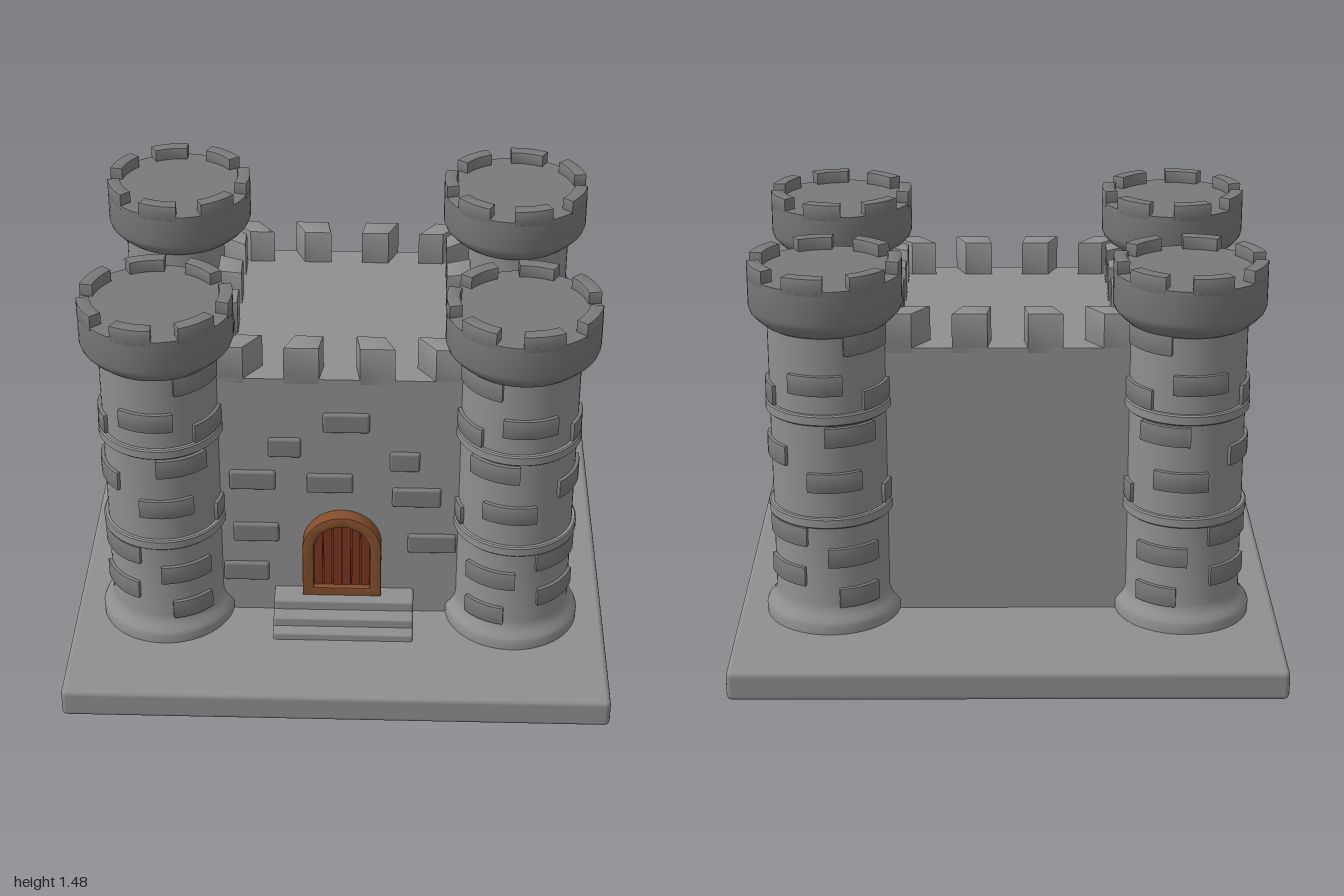
import * as THREE from 'three';
import { toCreasedNormals } from 'three/addons/utils/BufferGeometryUtils.js';
import { RoundedBoxGeometry } from 'three/addons/geometries/RoundedBoxGeometry.js';

const stone = new THREE.MeshStandardMaterial({ color: 0x8f8f8f });
const darkStone = new THREE.MeshStandardMaterial({ color: 0x7a7a7a });
const frameWood = new THREE.MeshStandardMaterial({ color: 0x834e2c });
const doorWood = new THREE.MeshStandardMaterial({ color: 0x78341f });

function add(parent, name, geometry, material = stone, x = 0, y = 0, z = 0) {
  const mesh = new THREE.Mesh(geometry, material);
  mesh.name = name;
  mesh.position.set(x, y, z);
  parent.add(mesh);
  return mesh;
}

const rounded = (w, h, d, r = 0.01) => new RoundedBoxGeometry(w, h, d, 2, r);

// Smooth turned form from [radius, y] points, keeping hard edges
const turned = (points) => toCreasedNormals(
  new THREE.LatheGeometry(points.map(([x, y]) => new THREE.Vector2(x, y)), 56), 0.6);

// Plan outline given as [x, z] points, raised from y0 to y1 with softened edges
function raise(points, y0, y1, bevel = 0.006) {
  const shape = new THREE.Shape(points.map(([x, z]) => new THREE.Vector2(x, -z)));
  const geo = new THREE.ExtrudeGeometry(shape, {
    depth: y1 - y0 - 2 * bevel, bevelEnabled: true, bevelSize: bevel,
    bevelThickness: bevel, bevelOffset: -bevel, bevelSegments: 2,
  });
  geo.rotateX(-Math.PI / 2).translate(0, y0 + bevel, 0);
  return toCreasedNormals(geo, 0.5);
}

// Curved block: ring sector between two angles (degrees from the front), mirrored by sx, sz
function sector(r0, r1, a0, a1, y0, y1, sx, sz, bevel) {
  const pts = [];
  const n = 8;
  const put = (r, t) => {
    const a = THREE.MathUtils.degToRad(a0 + (a1 - a0) * t);
    pts.push([sx * r * Math.sin(a), sz * r * Math.cos(a)]);
  };
  for (let i = 0; i <= n; i++) put(r1, i / n);
  for (let i = n; i >= 0; i--) put(r0, i / n);
  return raise(pts, y0, y1, bevel);
}

// Tower bricks: [height, start angle, end angle]
const towerBricks = [
  [1.215, -75, -20], [1.07, -18, 35], [1.0, 57, 97], [1.0, -85, -39],
  [0.875, -52, 0], [0.785, 41, 97], [0.7, -35, 18], [0.61, -110, -65],
  [0.485, 20, 75], [0.405, -53, 0], [0.325, 23, 75], [0.245, -53, -10],
];

function makeTower(sx, sz) {
  const tower = new THREE.Group();
  tower.name = 'tower';
  tower.position.set(sx * 0.65, 0, sz * 0.457);
  // Shaft with flared foot and two bands
  add(tower, 'towerShaft', turned([
    [0, 0.1], [0.248, 0.1], [0.25, 0.145], [0.243, 0.16], [0.228, 0.175], [0.216, 0.195], [0.211, 0.215],
    [0.211, 0.525], [0.222, 0.525], [0.227, 0.53], [0.227, 0.56], [0.222, 0.565], [0.211, 0.565],
    [0.211, 0.922], [0.222, 0.922], [0.227, 0.927], [0.227, 0.957], [0.222, 0.962], [0.211, 0.962],
    [0.211, 1.25],
  ]));
  // Wider head with a flat deck
  add(tower, 'towerHead', turned([
    [0.205, 1.245], [0.211, 1.245], [0.225, 1.253], [0.25, 1.275], [0.268, 1.295], [0.275, 1.315],
    [0.275, 1.437], [0, 1.437],
  ]), darkStone);
  // Seven wide merlons with narrow gaps, one gap facing straight sideways
  const step = 360 / 7;
  for (let i = 0; i < 7; i++) {
    const a = -90 + 10 + i * step;
    add(tower, 'towerMerlon', sector(0.228, 0.275, a, a + step - 20, 1.42, 1.483, -sx, 1, 0.002), darkStone);
  }
  for (const [y, a0, a1] of towerBricks) {
    add(tower, 'towerBrick', sector(0.19, 0.225, a0, a1, y - 0.038, y + 0.038, sx, sz, 0.005), darkStone);
  }
  return tower;
}

function makeKeep() {
  const keep = new THREE.Group();
  keep.name = 'keep';
  add(keep, 'keepWalls', new THREE.BoxGeometry(0.95, 1.05, 0.96), stone, 0, 0.62, 0);
  // Four merlons per side, cut towards the centre
  for (let side = 0; side < 4; side++) {
    const d = side % 2 ? 0.475 : 0.48;
    const k = 0.81;
    for (const [a, b] of [[-0.46, -0.345], [-0.2, -0.073], [0.073, 0.2], [0.345, 0.46]]) {
      const m = add(keep, 'keepMerlon', raise([[a, d], [b, d], [b * k, d * k], [a * k, d * k]], 1.12, 1.275));
      m.rotation.y = side * Math.PI / 2;
    }
  }
  // Front wall bricks: [x, y, width]
  const bricks = [
    [0.025, 0.965, 0.17], [-0.2, 0.855, 0.12], [0.24, 0.8, 0.11],
    [-0.32, 0.71, 0.17], [-0.035, 0.7, 0.17], [0.285, 0.642, 0.18],
    [-0.31, 0.475, 0.17], [0.345, 0.435, 0.18], [-0.35, 0.295, 0.17],
  ];
  for (const [x, y, w] of bricks) add(keep, 'wallBrick', rounded(w, 0.08, 0.05), darkStone, x, y, 0.471);
  return keep;
}

// Round-topped outline used for the frame and its opening
function arch(Type, r, bottom, spring) {
  const s = new Type();
  s.moveTo(-r, bottom);
  s.lineTo(r, bottom);
  s.lineTo(r, spring);
  s.absarc(0, spring, r, 0, Math.PI, false);
  s.closePath();
  return s;
}

function makeDoor() {
  const door = new THREE.Group();
  door.name = 'door';
  door.position.x = 0.01;
  const spring = 0.43;
  const frame = arch(THREE.Shape, 0.147, 0.22, spring);
  frame.holes.push(arch(THREE.Path, 0.105, 0.257, spring));
  const frameGeo = new THREE.ExtrudeGeometry(frame, {
    depth: 0.065, bevelEnabled: true, bevelSize: 0.005, bevelThickness: 0.005,
    bevelOffset: -0.005, bevelSegments: 2, curveSegments: 24,
  });
  add(door, 'doorFrame', toCreasedNormals(frameGeo, 0.5), frameWood, 0, 0, 0.465);
  const panel = new THREE.ExtrudeGeometry(arch(THREE.Shape, 0.107, 0.25, spring),
    { depth: 0.04, bevelEnabled: false, curveSegments: 24 });
  add(door, 'doorPanel', panel, doorWood, 0, 0, 0.46);
  // Six upright planks following the arch
  const w = 0.21 / 6;
  for (let i = 0; i < 6; i++) {
    const a = -0.105 + i * w + 0.002, b = a + w - 0.004;
    const s = new THREE.Shape();
    s.moveTo(a, 0.255);
    s.lineTo(b, 0.255);
    for (let j = 0; j <= 4; j++) {
      const x = b + (a - b) * j / 4;
      s.lineTo(x, spring + Math.sqrt(0.105 ** 2 - x * x));
    }
    s.closePath();
    add(door, 'doorPlank', new THREE.ExtrudeGeometry(s, { depth: 0.02, bevelEnabled: false }), doorWood, 0, 0, 0.493);
  }
  return door;
}

export function createModel() {
  const model = new THREE.Group();
  model.name = 'castle';
  add(model, 'base', rounded(2, 0.113, 2, 0.02), stone, 0, 0.0565, 0);
  model.add(makeKeep(), makeDoor());
  // Entrance steps: [top, front z]
  for (const [top, front] of [[0.22, 0.57], [0.18, 0.625], [0.143, 0.67]]) {
    add(model, 'step', rounded(0.524, top - 0.09, front - 0.45, 0.01), stone,
      0.018, (top + 0.09) / 2, (front + 0.45) / 2);
  }
  for (const sx of [-1, 1]) for (const sz of [-1, 1]) model.add(makeTower(sx, sz));
  return model;
}
